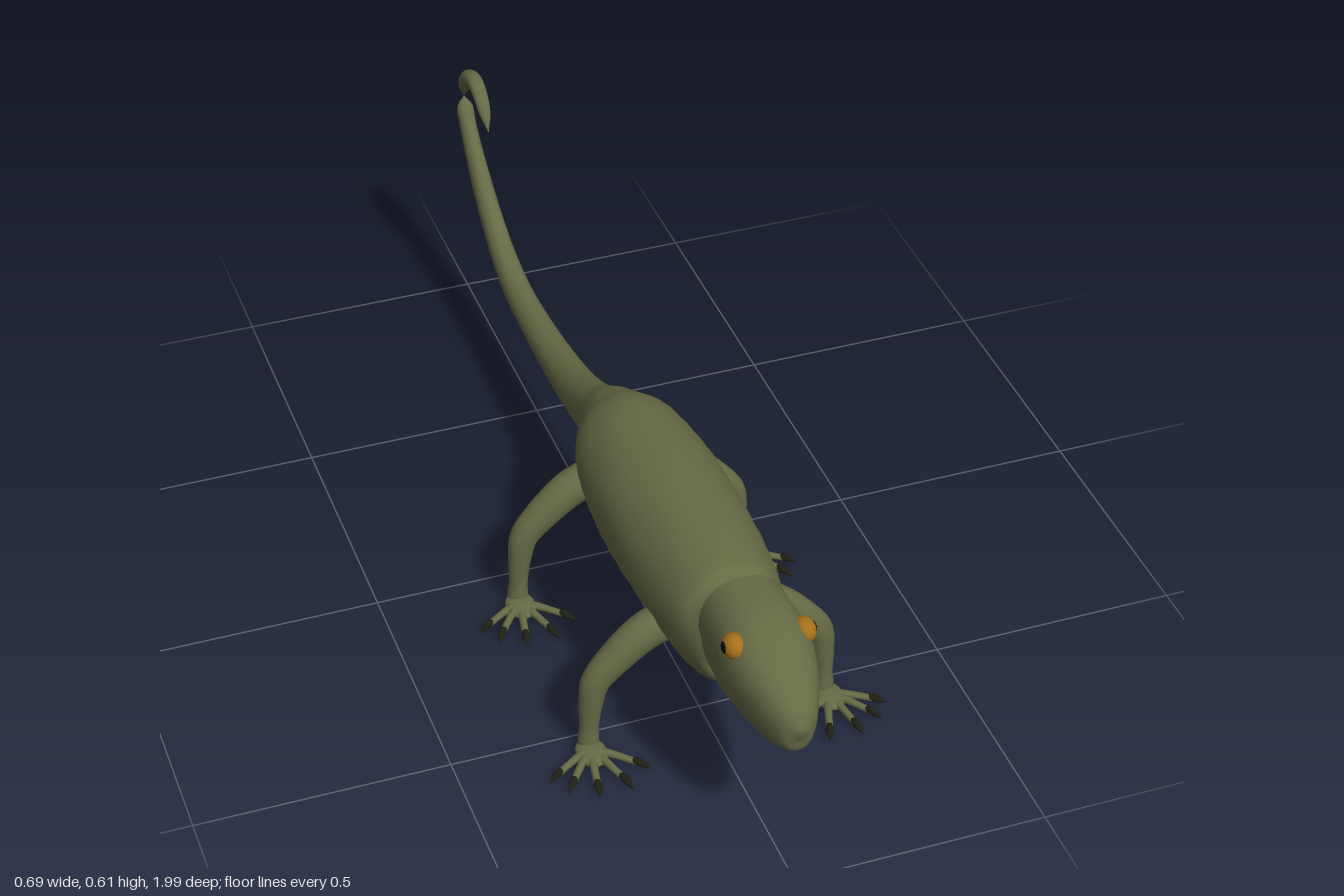
import * as THREE from 'three';

const skin = new THREE.MeshStandardMaterial({ color: 0x666b46 });
skin.name = 'olive skin';
const claw = new THREE.MeshStandardMaterial({ color: 0x1f2014 });
claw.name = 'dark claw';
const amber = new THREE.MeshStandardMaterial({ color: 0xa66f1c });
amber.name = 'amber eye';
const black = new THREE.MeshStandardMaterial({ color: 0x0c0c0a });
black.name = 'black pupil';

const X = new THREE.Vector3(1, 0, 0);
const Y = new THREE.Vector3(0, 1, 0);
const Z = new THREE.Vector3(0, 0, 1);

// Smooth closed tube through stations [x, y, z, radius along side, other radius];
// power > 2 makes the cross-section boxier, bump adds a slightly uneven hide.
function loft(name, stations, side, { mat = skin, rings = 4, sides = 16, power = 2, bump = 0 } = {}) {
  const path = new THREE.CatmullRomCurve3(stations.map(s => new THREE.Vector3(s[0], s[1], s[2])), false, 'catmullrom');
  const radii = new THREE.CatmullRomCurve3(stations.map(s => new THREE.Vector3(s[3], s[4], 0)), false, 'catmullrom');
  const n = (stations.length - 1) * rings;
  const pos = [], idx = [];
  const round = c => Math.sign(c) * Math.abs(c) ** (2 / power);
  const ring = i => {
    const t = i / n, c = path.getPoint(t), r = radii.getPoint(t);
    const v = path.getTangent(t).cross(side).normalize();
    const first = pos.length / 3;
    for (let j = 0; j < sides; j++) {
      const a = j / sides * Math.PI * 2;
      const k = 1 + bump * Math.sin(a * 5 + i * 1.3) * Math.sin(i * 1.9 - a * 2);
      const p = c.clone()
        .addScaledVector(side, Math.max(r.x, 0.0005) * k * round(Math.cos(a)))
        .addScaledVector(v, Math.max(r.y, 0.0005) * k * round(Math.sin(a)));
      pos.push(p.x, p.y, p.z);
    }
    return first;
  };
  for (let i = 0; i <= n; i++) ring(i);
  for (let i = 0; i < n; i++) {
    for (let j = 0; j < sides; j++) {
      const a = i * sides + j, b = i * sides + (j + 1) % sides;
      idx.push(a, b, a + sides, b, b + sides, a + sides);
    }
  }
  // End caps with their own rings, so the edges stay sharp
  for (const end of [0, n]) {
    const first = ring(end), c = path.getPoint(end / n), mid = pos.length / 3;
    pos.push(c.x, c.y, c.z);
    for (let j = 0; j < sides; j++) {
      const a = first + j, b = first + (j + 1) % sides;
      if (end) idx.push(mid, a, b); else idx.push(mid, b, a);
    }
  }
  const geo = new THREE.BufferGeometry();
  geo.setAttribute('position', new THREE.Float32BufferAttribute(pos, 3));
  geo.setIndex(idx);
  geo.computeVertexNormals();
  const mesh = new THREE.Mesh(geo, mat);
  mesh.name = name;
  return mesh;
}

function ellipsoid(name, mat, center, size) {
  const mesh = new THREE.Mesh(new THREE.SphereGeometry(1, 20, 14), mat);
  mesh.name = name;
  mesh.position.set(...center);
  mesh.scale.set(...size);
  return mesh;
}

// Leg with a five-toed foot; s is the side, z0 the place along the body, dx moves it sideways
function makeLeg(name, s, z0, dx) {
  const leg = new THREE.Group();
  leg.name = name;
  const limb = [
    [0.075, 0.285, 0.036, 0.040], [0.13, 0.262, 0.035, 0.038], [0.18, 0.220, 0.031, 0.035],
    [0.222, 0.172, 0.026, 0.030], [0.234, 0.120, 0.022, 0.024], [0.238, 0.060, 0.018, 0.019],
    [0.240, 0.025, 0.019, 0.021], [0.240, 0.004, 0.016, 0.018],
  ].map(([x, y, rz, rx]) => [s * (x + dx), y, z0, rz, rx]);
  leg.add(loft('limb', limb, Z));
  leg.add(ellipsoid('palm', skin, [s * (0.242 + dx), 0.014, z0 + 0.025], [0.03, 0.012, 0.042]));
  const tips = [[0.343, 0.075], [0.318, 0.115], [0.266, 0.145], [0.198, 0.143], [0.148, 0.1]];
  for (const [tx, tz] of tips) {
    const at = (f, y, rv, rh) => [s * (0.242 + dx + (tx - 0.242) * f), y, z0 + 0.015 + (tz - 0.015) * f, rv, rh];
    leg.add(loft('toe', [at(0.1, 0.014, 0.009, 0.011), at(0.4, 0.017, 0.007, 0.008),
      at(0.76, 0.015, 0.006, 0.007)], Y, { sides: 8 }));
    leg.add(loft('claw', [at(0.7, 0.016, 0.006, 0.006), at(0.8, 0.017, 0.008, 0.008),
      at(0.9, 0.013, 0.005, 0.005), at(1, 0.009, 0, 0)], Y, { mat: claw, sides: 8, rings: 3 }));
  }
  return leg;
}

export function createModel() {
  const model = new THREE.Group();
  model.name = 'lizard';

  // Trunk running on into the tail: z, y, half width, half height
  const trunk = [
    [0.75, 0.36, 0.06, 0.06], [0.72, 0.36, 0.088, 0.088], [0.66, 0.345, 0.108, 0.12],
    [0.56, 0.345, 0.122, 0.129], [0.40, 0.343, 0.132, 0.132], [0.25, 0.34, 0.132, 0.129],
    [0.12, 0.34, 0.118, 0.117], [0.05, 0.333, 0.095, 0.1], [0, 0.325, 0.072, 0.08],
    [-0.08, 0.297, 0.053, 0.06], [-0.2, 0.262, 0.043, 0.048], [-0.35, 0.24, 0.037, 0.038],
    [-0.5, 0.232, 0.032, 0.033], [-0.62, 0.237, 0.029, 0.032], [-0.72, 0.266, 0.026, 0.031],
    [-0.82, 0.325, 0.023, 0.029], [-0.9, 0.39, 0.02, 0.026], [-0.955, 0.45, 0.018, 0.021],
    [-0.976, 0.488, 0.017, 0.016], [-0.982, 0.512, 0, 0],
  ].map(([z, y, rx, ry]) => [0, y, z, rx, ry]);
  model.add(loft('bodyAndTail', trunk, X, { sides: 32, rings: 5, bump: 0.012 }));

  // Curled tail end beyond the pinch
  const curl = [
    [-0.982, 0.513, 0, 0], [-0.971, 0.545, 0.014, 0.014], [-0.943, 0.58, 0.018, 0.017],
    [-0.9, 0.597, 0.017, 0.015], [-0.86, 0.586, 0.016, 0.013], [-0.826, 0.556, 0.012, 0.01],
    [-0.805, 0.524, 0, 0],
  ].map(([z, y, rx, ry]) => [0, y, z, rx, ry]);
  model.add(loft('tailCurl', curl, X));

  // Head with a sharp rear rim overlapping the neck
  const head = [
    [0.703, 0.39, 0.083, 0.097], [0.75, 0.39, 0.086, 0.1], [0.82, 0.39, 0.088, 0.1],
    [0.88, 0.379, 0.078, 0.089], [0.94, 0.363, 0.057, 0.072], [0.98, 0.355, 0.037, 0.053],
    [0.996, 0.353, 0.018, 0.03], [1, 0.352, 0, 0],
  ].map(([z, y, rx, ry]) => [0, y, z, rx, ry]);
  model.add(loft('head', head, X, { sides: 32, rings: 5, power: 2.4 }));

  // Mirrored eyes and legs
  for (const s of [1, -1]) {
    const label = s > 0 ? 'left' : 'right';
    model.add(ellipsoid(label + 'Eye', amber, [s * 0.067, 0.453, 0.838], [0.022, 0.024, 0.027]));
    model.add(ellipsoid(label + 'Pupil', black, [s * 0.085, 0.454, 0.838], [0.005, 0.012, 0.012]));
    model.add(makeLeg(label + 'FrontLeg', s, 0.542, 0));
    model.add(makeLeg(label + 'HindLeg', s, 0.09, -0.006));
  }
  return model;
}
